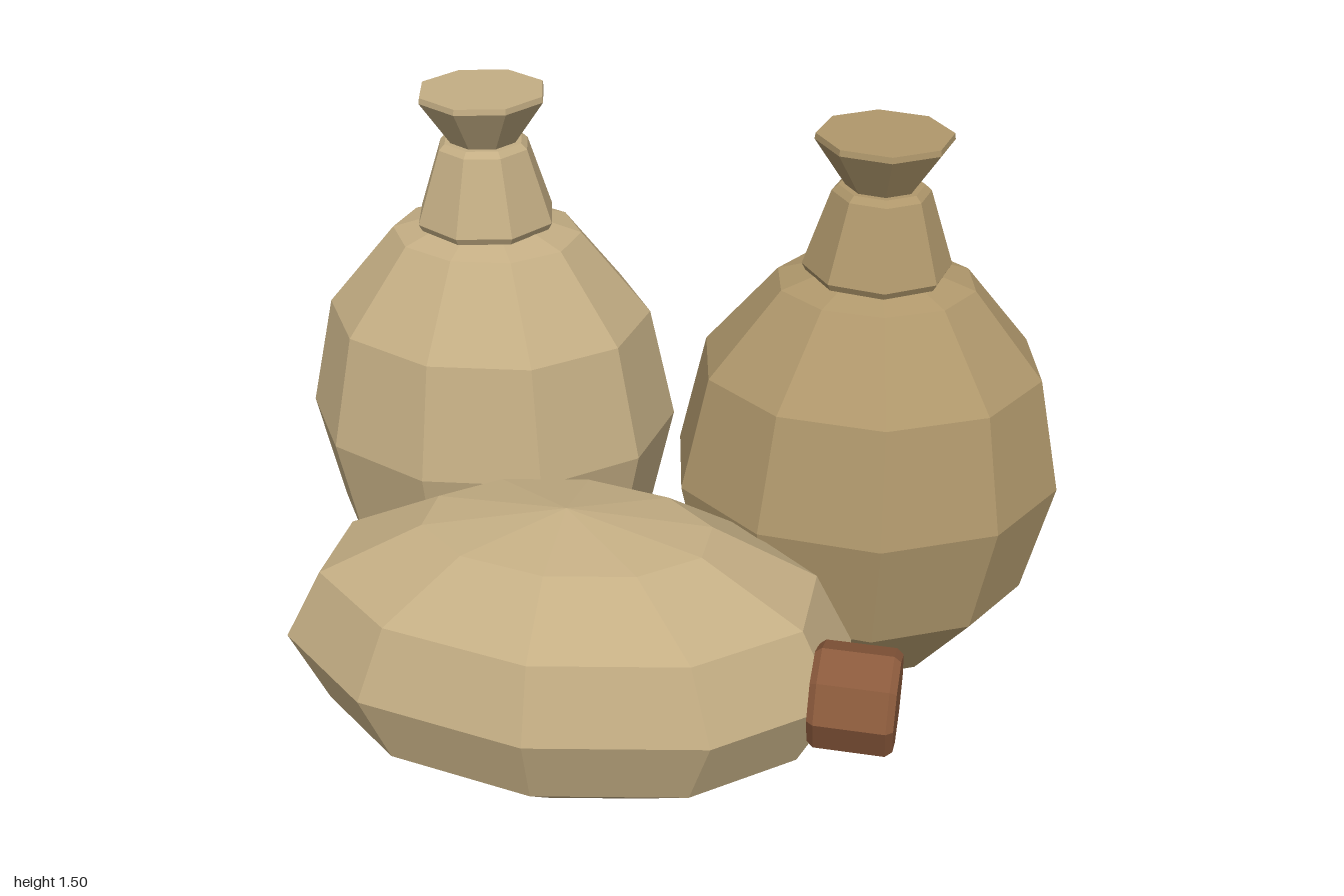
import * as THREE from 'three';

const faceted = (color) =>
  new THREE.MeshStandardMaterial({ color, flatShading: true });

// Low-poly ellipsoid bag with corners on its z axis
function bag(name, material, rx, ry, rz) {
  const geometry = new THREE.SphereGeometry(1, 10, 6, Math.PI / 2);
  geometry.scale(rx, ry, rz);
  const mesh = new THREE.Mesh(geometry, material);
  mesh.name = name;
  return mesh;
}

// Eight-sided turned part from [radius, height] pairs, bottom to top
function turned(name, material, profile) {
  const points = profile.map(([r, y]) => new THREE.Vector2(r, y));
  const mesh = new THREE.Mesh(new THREE.LatheGeometry(points, 8), material);
  mesh.name = name;
  return mesh;
}

// Upright sack: body, gathered neck and flared mouth
function standingSack(name, color, x, z, turn) {
  const sack = new THREE.Group();
  sack.name = name;
  const cloth = faceted(color);

  const body = bag('sackBody', cloth, 0.5, 0.6, 0.445);
  body.position.y = 0.605;

  const neck = turned('sackNeck', cloth, [
    [0, 1.15], [0.175, 1.15], [0.185, 1.168], [0.121, 1.36], [0.105, 1.375], [0, 1.375],
  ]);
  const mouth = turned('sackMouth', cloth, [
    [0, 1.365], [0.082, 1.365], [0.168, 1.49], [0.166, 1.505], [0, 1.505],
  ]);

  sack.add(body, neck, mouth);
  sack.position.set(x, 0, z);
  sack.rotation.y = turn;
  return sack;
}

// Sack lying on its side, with a round stopper at one end
function lyingSack() {
  const sack = new THREE.Group();
  sack.name = 'lyingSack';
  const body = bag('lyingSackBody', faceted(0xc4ae84), 0.705, 0.366, 0.444);

  const stopper = turned('stopper', faceted(0x8b5a3c), [
    [0, -0.098], [0.113, -0.098], [0.126, -0.082], [0.126, 0.082], [0.113, 0.098], [0, 0.098],
  ]);
  stopper.geometry.rotateZ(-Math.PI / 2);
  stopper.position.set(0.71, 0.028, 0.132);

  sack.add(body, stopper);
  sack.position.set(-0.025, 0.4, 0.365);
  sack.rotation.y = 0.145;
  return sack;
}

export function createModel() {
  const model = new THREE.Group();
  model.name = 'sackPile';
  model.add(
    standingSack('rightSack', 0xc4ae84, -0.525, -0.32, 0),
    standingSack('leftSack', 0xb0986c, 0.505, -0.37, 0.35),
    lyingSack(),
  );
  return model;
}
